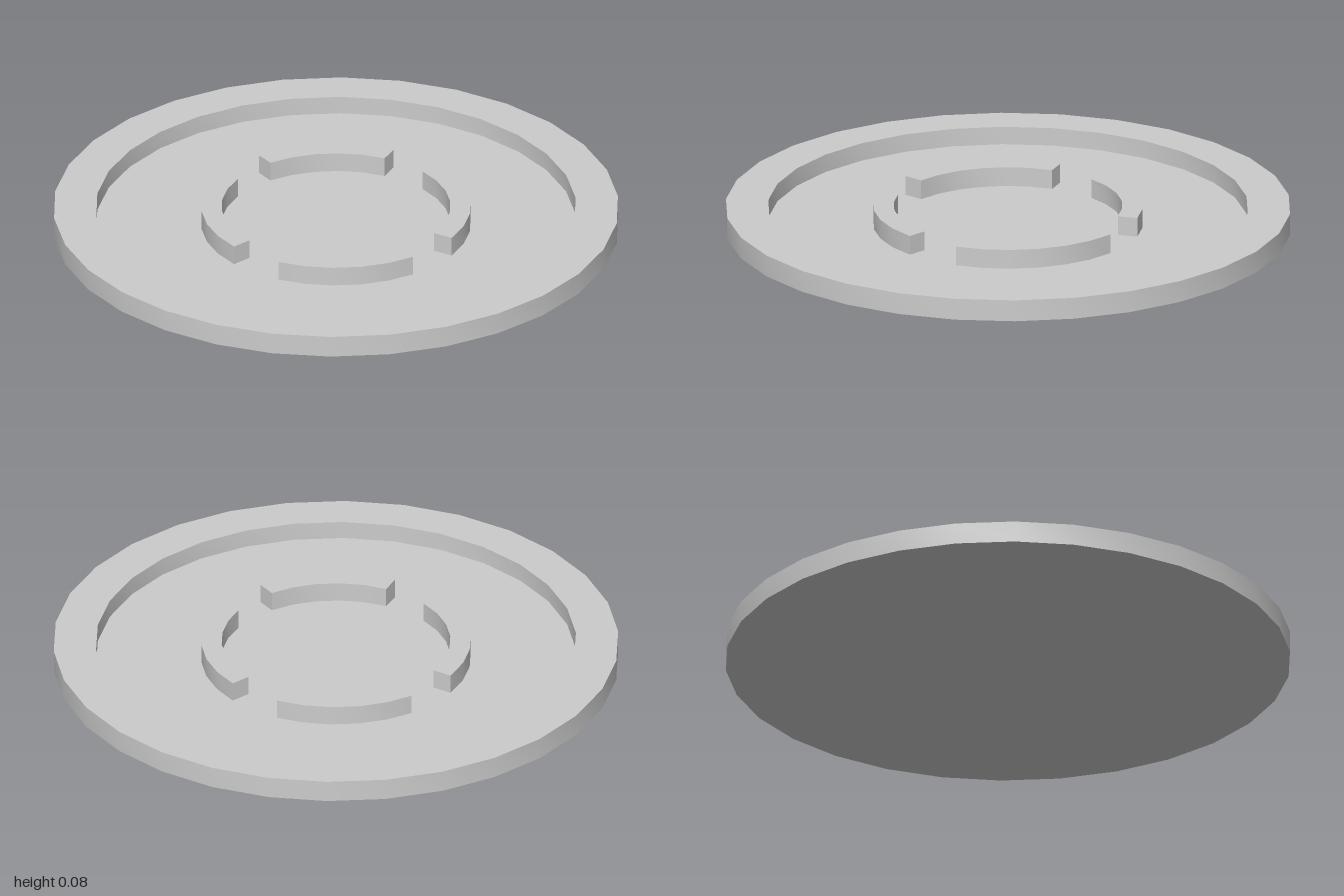
import * as THREE from 'three';
import { toCreasedNormals } from 'three/addons/utils/BufferGeometryUtils.js';

const SIDES = 30;
const STEP = (Math.PI * 2) / SIDES;
const FLOOR = 0.013;

// Curved bar between two facet indices of the 30-sided circle, standing on the floor
function arcGeometry(from, to, inner, outer, top) {
  const points = [];
  const add = (r, i) => points.push(new THREE.Vector2(r * Math.cos(i * STEP), r * Math.sin(i * STEP)));
  for (let i = from; i <= to; i++) add(outer, i);
  for (let i = to; i >= from; i--) add(inner, i);
  const base = FLOOR / 2; // sunk slightly into the floor
  const geometry = new THREE.ExtrudeGeometry(new THREE.Shape(points), { depth: top - base, bevelEnabled: false });
  geometry.rotateX(-Math.PI / 2).translate(0, base, 0);
  return toCreasedNormals(geometry, Math.PI / 6);
}

export function createModel() {
  const group = new THREE.Group();
  const material = new THREE.MeshStandardMaterial({ color: 0xcccccc });

  // Round tray: flat underside, raised rim and sunken floor
  const profile = [[0, 0], [1, 0], [1, 0.078], [0.85, 0.078], [0.85, FLOOR], [0, FLOOR]]
    .map(([r, y]) => new THREE.Vector2(r, y));
  const trayGeometry = new THREE.LatheGeometry(profile, SIDES, Math.PI / 2);
  const tray = new THREE.Mesh(toCreasedNormals(trayGeometry, Math.PI / 6), material);
  tray.name = 'tray';
  group.add(tray);

  // Broken inner ring: two short and two long arcs, evenly gapped
  const arcs = new THREE.Group();
  arcs.name = 'innerRing';
  for (const [from, to] of [[6, 11], [13, 19], [21, 26], [28, 34]]) {
    const arc = new THREE.Mesh(arcGeometry(from, to, 0.405, 0.477, 0.083), material);
    arc.name = 'ringArc';
    arcs.add(arc);
  }
  group.add(arcs);

  return group;
}
